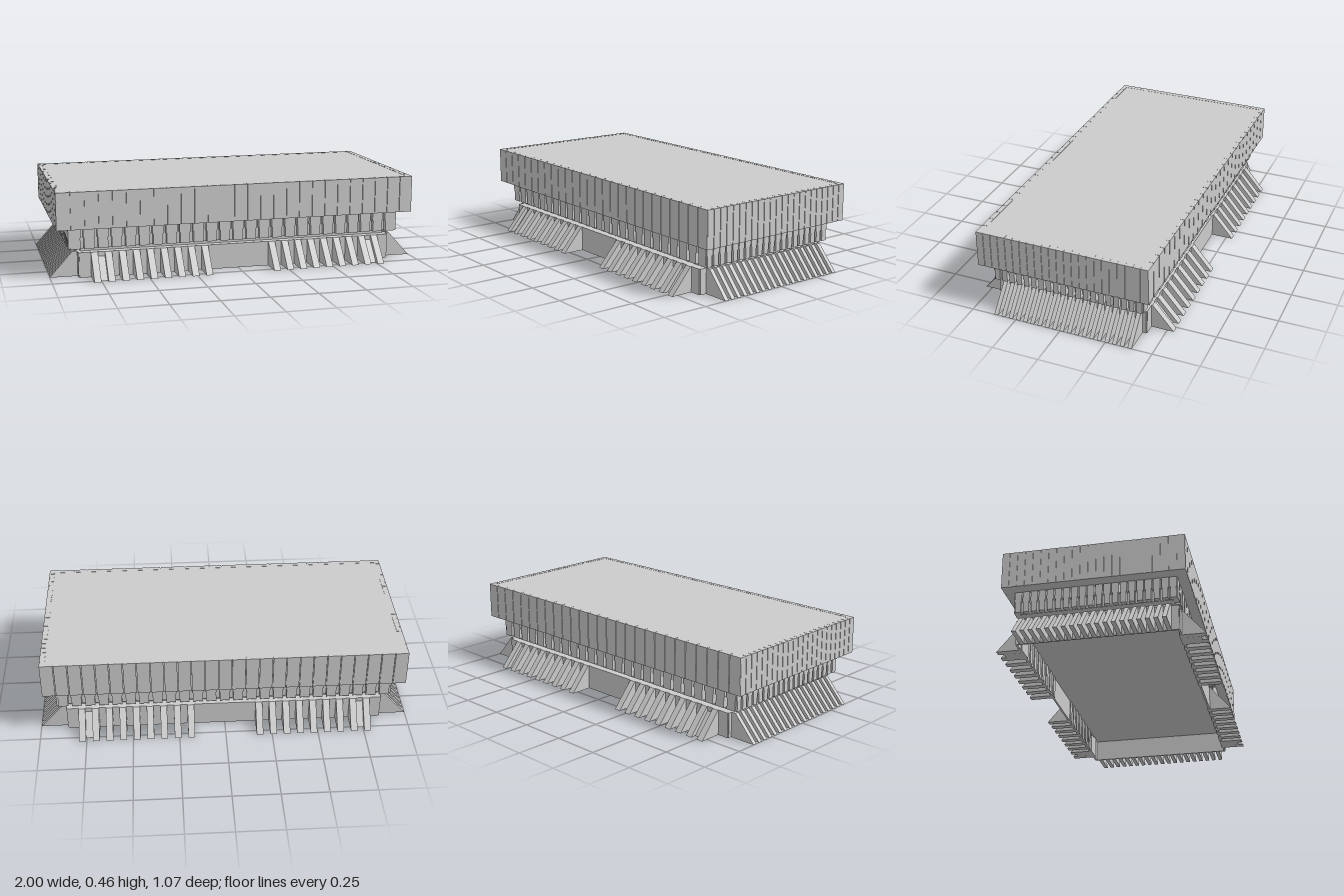
import * as THREE from 'three';

const mat = new THREE.MeshStandardMaterial({ color: 0xcccccc, flatShading: true, side: THREE.DoubleSide });

export function createModel() {
  const root = new THREE.Group();
  const group = (name) => {
    const g = new THREE.Group();
    g.name = name;
    root.add(g);
    return g;
  };
  // box given by its min and max on each axis
  const box = (parent, name, x0, x1, y0, y1, z0, z1) => {
    const m = new THREE.Mesh(new THREE.BoxGeometry(x1 - x0, y1 - y0, z1 - z0), mat);
    m.position.set((x0 + x1) / 2, (y0 + y1) / 2, (z0 + z1) / 2);
    m.name = name;
    parent.add(m);
  };
  // row of upright blocks along one axis, on both opposite sides
  const row = (parent, name, axis, half, count, gap, inner, outer, y0, y1) => {
    const step = (2 * half) / count;
    for (const s of [-1, 1]) {
      const a = Math.min(s * inner, s * outer), b = Math.max(s * inner, s * outer);
      for (let i = 0; i < count; i++) {
        const p = -half + i * step + gap / 2, q = p + step - gap;
        if (axis === 'x') box(parent, name, p, q, y0, y1, a, b);
        else box(parent, name, a, b, y0, y1, p, q);
      }
    }
  };
  // sloping rib: vertical inner edge, slanted outer edge
  const rib = (parent, name, width, inner, top, foot, height, angle, along) => {
    const s = new THREE.Shape();
    s.moveTo(inner, 0);
    s.lineTo(foot, 0);
    s.lineTo(top, height);
    s.lineTo(inner, height);
    const g = new THREE.ExtrudeGeometry(s, { depth: width, bevelEnabled: false });
    g.translate(0, 0, -width / 2);
    g.rotateY(angle);
    const m = new THREE.Mesh(g, mat);
    if (Math.abs(Math.sin(angle)) > 0.5) m.position.x = along;
    else m.position.z = along;
    m.name = name;
    parent.add(m);
  };

  // upper slab clad with narrow panels
  const slab = group('upperSlab');
  box(slab, 'slabCore', -0.965, 0.965, 0.265, 0.46, -0.46, 0.46);
  row(slab, 'slabPanel', 'x', 0.969, 27, 0.004, 0.44, 0.466, 0.265, 0.461);
  row(slab, 'slabPanel', 'z', 0.466, 23, 0.003, 0.94, 0.969, 0.265, 0.461);

  // stepped cornice: upper band, then blocks under it
  const cornice = group('cornice');
  box(cornice, 'corniceCore', -0.88, 0.88, 0.15, 0.265, -0.39, 0.39);
  row(cornice, 'cornicePanel', 'x', 0.905, 25, 0.012, 0.37, 0.415, 0.21, 0.265);
  row(cornice, 'cornicePanel', 'z', 0.415, 20, 0.006, 0.86, 0.905, 0.21, 0.265);
  row(cornice, 'corniceBlock', 'x', 0.905, 25, 0.02, 0.37, 0.415, 0.152, 0.21);
  row(cornice, 'corniceBlock', 'z', 0.415, 20, 0.013, 0.86, 0.905, 0.152, 0.21);

  // neck, forming the ceiling of the hollow base
  box(root, 'neck', -0.84, 0.84, 0.12, 0.15, -0.375, 0.375);

  // thin walls round the hollow base
  const walls = group('baseWalls');
  for (const s of [-1, 1]) {
    box(walls, 'longWall', -0.85, 0.85, 0, 0.133, s * 0.41 - 0.005, s * 0.41 + 0.005);
    box(walls, 'endWall', s * 0.85 - 0.005, s * 0.85 + 0.005, 0, 0.133, -0.41, 0.41);
  }
  box(walls, 'baseCeiling', -0.85, 0.85, 0.122, 0.133, -0.41, 0.41);

  // two groups of ribs on the front and back
  const longRibs = group('longSideRibs');
  for (const angle of [-Math.PI / 2, Math.PI / 2]) {
    for (const side of [-1, 1]) {
      for (let i = 0; i < 9; i++)
        rib(longRibs, 'longSideRib', 0.036, 0.4, 0.42, 0.535, 0.133, angle, side * (0.185 + i * 0.0734));
      rib(longRibs, 'ribFiller', 0.038, 0.4, 0.41, 0.505, 0.115, angle, side * 0.735);
    }
  }

  // closely spaced ribs on both ends
  const endRibs = group('endRibs');
  for (const angle of [0, Math.PI])
    for (let i = 0; i < 19; i++)
      rib(endRibs, 'endRib', 0.022, 0.845, 0.88, 1, 0.133, angle, 0.363 - i * 0.0413);

  return root;
}
